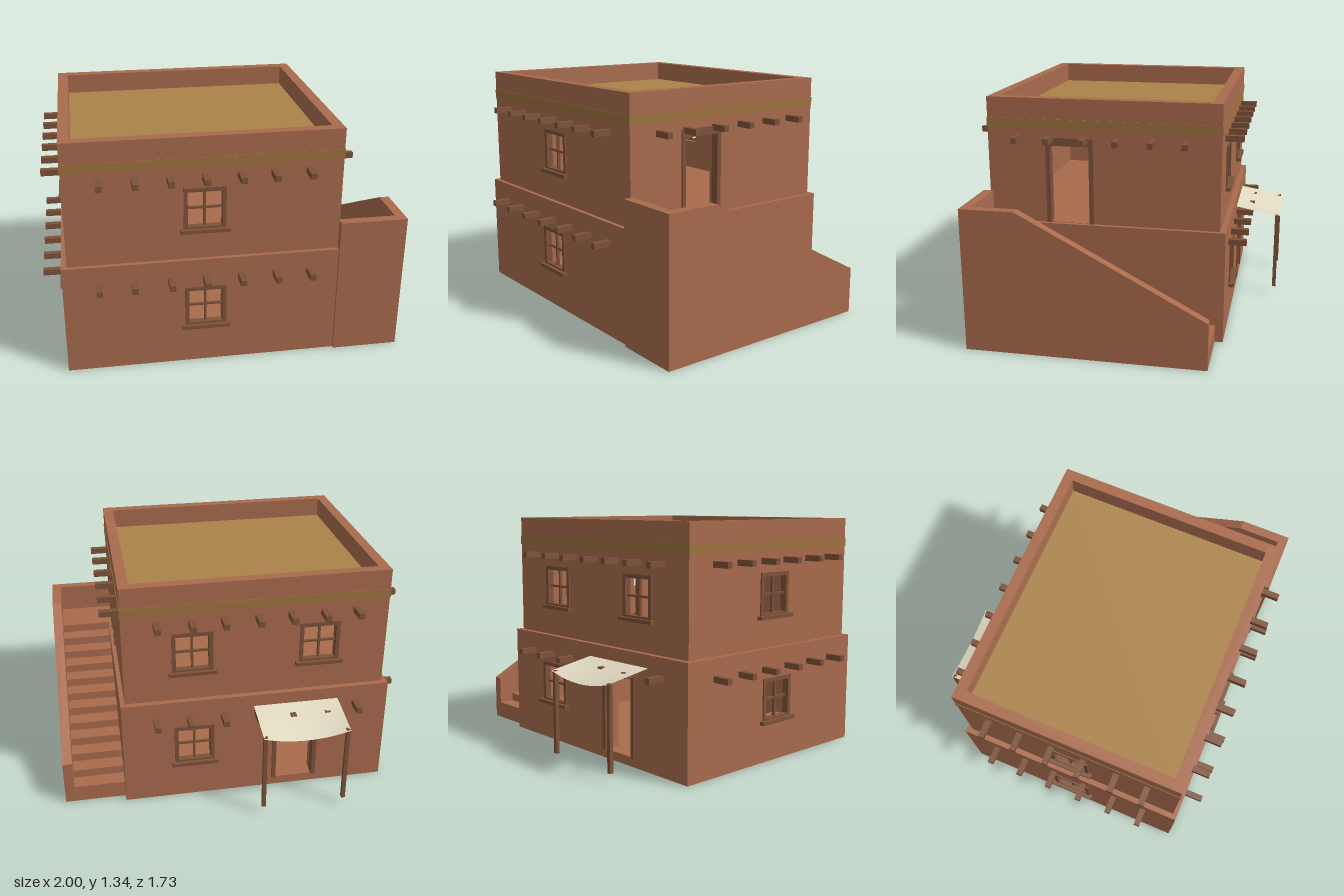
import * as THREE from 'three';

const paint = (color) => new THREE.MeshStandardMaterial({ color });
const ADOBE = paint(0xa96b4d);
const WOOD = paint(0x7d5239);
const CLAY = paint(0xab834a);
const BAND = paint(0x9f7340);
const CANVAS = paint(0xe0d8c0);
CANVAS.side = THREE.DoubleSide;

function add(parent, name, geometry, material) {
  const mesh = new THREE.Mesh(geometry, material);
  mesh.name = name;
  parent.add(mesh);
  return mesh;
}

// Box given by its two opposite corners
function box(parent, name, x0, x1, y0, y1, z0, z1, material) {
  const mesh = add(parent, name, new THREE.BoxGeometry(x1 - x0, y1 - y0, z1 - z0), material);
  mesh.position.set((x0 + x1) / 2, (y0 + y1) / 2, (z0 + z1) / 2);
  return mesh;
}

const polygon = (points) => new THREE.Shape(points.map(([x, y]) => new THREE.Vector2(x, y)));
const rectangle = (x0, x1, y0, y1) => polygon([[x0, y0], [x1, y0], [x1, y1], [x0, y1]]);

// Side profile of (z, y) points, extruded from x0 to x1
function profile(parent, name, points, x0, x1) {
  const geometry = new THREE.ExtrudeGeometry(polygon(points), { depth: x1 - x0, bevelEnabled: false });
  geometry.rotateY(-Math.PI / 2).translate(x1, 0, 0);
  add(parent, name, geometry, ADOBE);
}

// Four-pane window: frame, glazing bars and sill; u is the centre, y the sill top
function windowUnit(parent, u, y) {
  const g = new THREE.Group();
  g.name = 'window';
  g.position.set(u, y, 0);
  parent.add(g);
  const w = 0.115, h = 0.235, f = 0.022;
  for (const s of [-1, 1]) {
    const c = s * (w - f / 2);
    box(g, 'windowJamb', c - f / 2, c + f / 2, 0, h, -0.03, 0.008, WOOD);
  }
  box(g, 'windowHead', -w + f, w - f, h - f, h, -0.03, 0.008, WOOD);
  box(g, 'windowBottomRail', -w + f, w - f, 0, f / 2, -0.03, 0.008, WOOD);
  box(g, 'verticalBar', -0.006, 0.006, f / 2, h - f, -0.024, -0.008, WOOD);
  box(g, 'horizontalBar', -w + f, w - f, 0.11, 0.122, -0.023, -0.009, WOOD);
  box(g, 'windowSill', -0.135, 0.135, -0.02, 0, -0.03, 0.03, WOOD);
}

// Door surround; u is the centre, y the threshold
function doorFrame(parent, u, y) {
  const g = new THREE.Group();
  g.name = 'doorFrame';
  g.position.set(u, y, 0);
  parent.add(g);
  for (const s of [-1, 1]) {
    const c = s * 0.122;
    box(g, 'doorJamb', c - 0.0125, c + 0.0125, 0, 0.44, -0.04, 0.008, WOOD);
  }
  box(g, 'doorLintel', -0.135, 0.135, 0.44, 0.485, -0.04, 0.008, WOOD);
}

// One wall, local +z outwards, with its openings and projecting roof beams
function facade(parent, { name, turn, x = 0, z = 0, from, to, y0, y1, thick,
  windows = [], doors = [], beams = [], beamY }) {
  const g = new THREE.Group();
  g.name = name;
  g.rotation.y = turn;
  g.position.set(x, 0, z);
  parent.add(g);
  const shape = rectangle(from, to, y0, y1);
  for (const [u, y] of windows) shape.holes.push(rectangle(u - 0.1, u + 0.1, y + 0.002, y + 0.222));
  for (const [u, y] of doors) shape.holes.push(rectangle(u - 0.112, u + 0.112, y + 0.002, y + 0.45));
  const geometry = new THREE.ExtrudeGeometry(shape, { depth: thick, bevelEnabled: false });
  add(g, 'wall', geometry.translate(0, 0, -thick), ADOBE);
  windows.forEach(([u, y]) => windowUnit(g, u, y));
  doors.forEach(([u, y]) => doorFrame(g, u, y));
  for (const u of beams) {
    box(g, 'roofBeam', u - 0.0165, u + 0.0165, beamY - 0.0165, beamY + 0.0165, -0.02, 0.102, WOOD);
  }
}

const flip = (list) => list.map((v) => -v);

// Four facades around a rectangular storey
function storey(parent, label, { x0, x1, z0, z1, thick, ...rest }, { front, back, left, right }) {
  const common = { ...rest, thick };
  const H = Math.PI / 2;
  facade(parent, { ...common, name: label + 'Front', turn: 0, z: z1, from: x0, to: x1, ...front });
  facade(parent, { ...common, name: label + 'Back', turn: Math.PI, z: z0, from: -x1, to: -x0, ...back });
  facade(parent, { ...common, name: label + 'StairSide', turn: H, x: x1, from: -z1 + thick, to: -z0 - thick, ...left });
  facade(parent, { ...common, name: label + 'FarSide', turn: -H, x: x0, from: z0 + thick, to: z1 - thick, ...right });
}

function buildHouse(house) {
  const lowX = [-0.705, -0.515, -0.315, -0.125, 0.07, 0.265, 0.455];
  const lowZ = [-0.4, -0.21, -0.02, 0.175, 0.37, 0.56];
  const highX = [-0.68, -0.495, -0.31, -0.125, 0.065, 0.245, 0.435];
  const highZ = [-0.38, -0.195, -0.005, 0.18, 0.375, 0.555];

  storey(house, 'lower',
    { x0: -0.9, x1: 0.65, z0: -0.6, z1: 0.76, y0: 0, y1: 0.64, thick: 0.09, beamY: 0.53 }, {
      front: { windows: [[-0.125, 0.24]], beams: lowX },
      back: { windows: [[-0.24, 0.24]], doors: [[0.355, 0.05]], beams: flip(lowX) },
      left: {},
      right: { windows: [[0.09, 0.24]], beams: lowZ },
    });
  storey(house, 'upper',
    { x0: -0.87, x1: 0.625, z0: -0.567, z1: 0.735, y0: 0.64, y1: 1.34, thick: 0.06, beamY: 1.12 }, {
      front: { windows: [[-0.125, 0.82]], beams: highX },
      back: { windows: [[-0.24, 0.82], [0.48, 0.82]], beams: flip(highX) },
      left: { doors: [[-0.27, 0.64]], beams: flip(highZ) },
      right: { windows: [[0.09, 0.82]], beams: highZ },
    });

  // Floors and roof
  box(house, 'groundFloor', -0.81, 0.56, 0, 0.05, -0.51, 0.67, ADOBE);
  box(house, 'upperFloor', -0.812, 0.567, 0.59, 0.639, -0.512, 0.676, ADOBE);
  box(house, 'roof', -0.81, 0.565, 1.175, 1.225, -0.507, 0.675, CLAY);

  // Painted band around the upper walls
  const band = rectangle(-0.873, 0.628, -0.738, 0.57);
  band.holes.push(rectangle(-0.86, 0.615, -0.725, 0.557));
  const geometry = new THREE.ExtrudeGeometry(band, { depth: 0.05, bevelEnabled: false });
  add(house, 'paintedBand', geometry.rotateX(-Math.PI / 2).translate(0, 1.175, 0), BAND);
}

function buildStairs(stairs) {
  // Steps climb towards +z and end in a hollow landing
  const count = 11, start = -0.555, end = 0.47, rise = 0.59 / 12;
  const points = [[start, 0]];
  for (let i = 0; i <= count; i++) {
    const z = start + ((end - start) * i) / count;
    points.push([z, 0.05 + rise * i], [z, 0.05 + rise * (i + 1)]);
  }
  points.push([0.72, 0.64], [0.72, 0.59], [end, 0.59], [end, 0]);
  points.splice(1, 1);
  profile(stairs, 'steps', points, 0.645, 0.946);
  profile(stairs, 'outerParapet',
    [[start, 0], [start, 0.265], [end, 0.805], [0.72, 0.805], [0.72, 0]], 0.945, 1);
  box(stairs, 'landingFrontWall', 0.622, 1, 0, 0.805, 0.72, 0.775, ADOBE);
}

function buildCanopy(canopy) {
  // Cloth slopes outwards and sags between the posts
  const cloth = new THREE.PlaneGeometry(0.495, 0.27, 16, 4).rotateX(-Math.PI / 2);
  const p = cloth.attributes.position;
  for (let i = 0; i < p.count; i++) {
    const out = 0.5 - p.getZ(i) / 0.27;
    const across = p.getX(i) / 0.2475;
    p.setY(i, 0.568 - 0.048 * out - 0.035 * out * (1 - across * across));
  }
  cloth.translate(-0.3525, 0, -0.735);
  cloth.computeVertexNormals();
  add(canopy, 'canopyCloth', cloth, CANVAS);
  for (const x of [-0.588, -0.117]) {
    box(canopy, 'canopyPost', x - 0.011, x + 0.011, 0.05, 0.522, -0.862, -0.84, WOOD);
  }
}

export function createModel() {
  const model = new THREE.Group();
  model.name = 'adobeHouse';
  for (const [name, build] of [['house', buildHouse], ['outsideStairs', buildStairs], ['canopy', buildCanopy]]) {
    const part = new THREE.Group();
    part.name = name;
    build(part);
    model.add(part);
  }
  return model;
}
